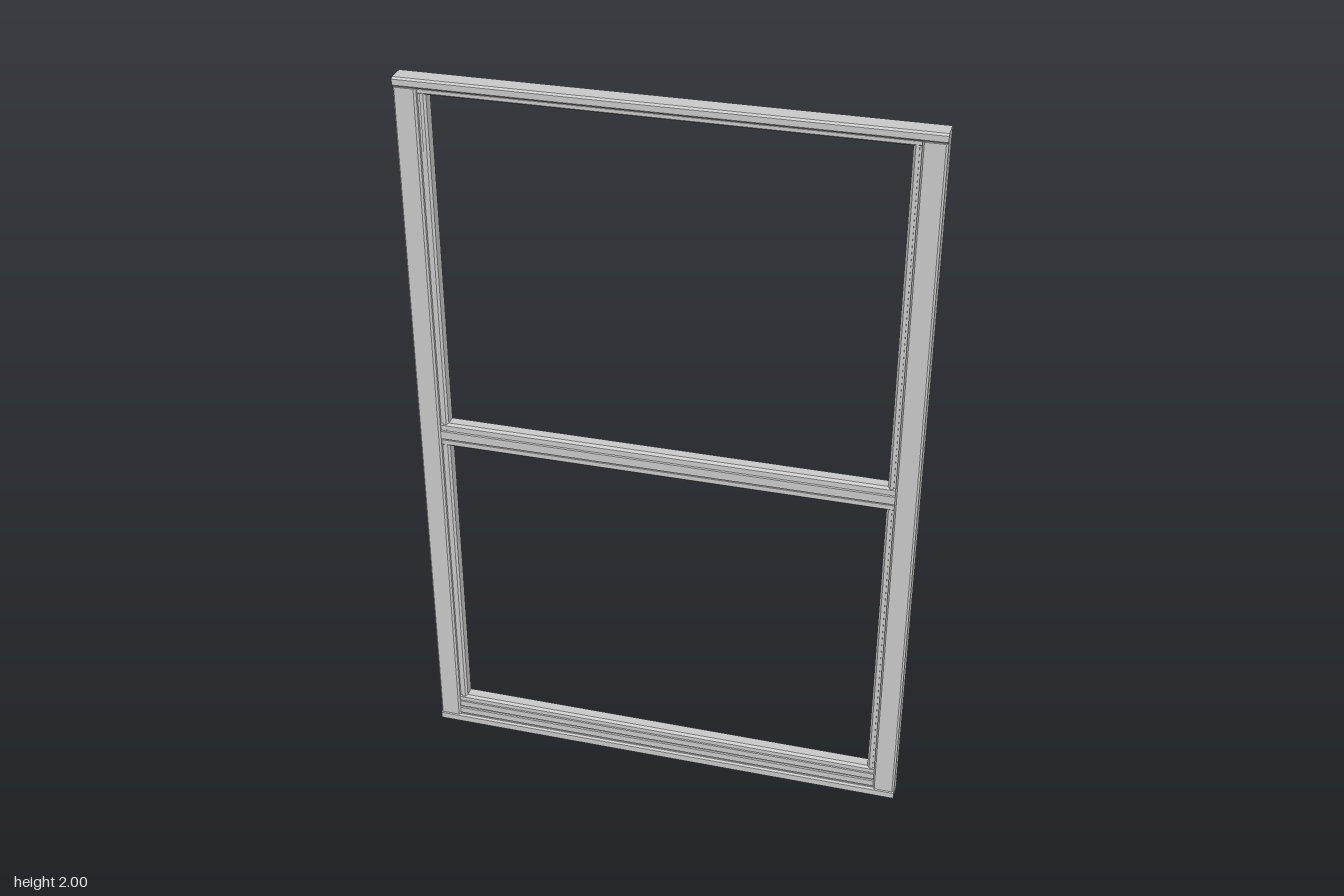
import * as THREE from 'three';

const material = new THREE.MeshStandardMaterial({ color: 0xcccccc });

// Mirrors a half profile of [position, half depth] into a closed outline.
function outline(half) {
  const back = [...half].reverse().map(([p, d]) => [p, -d]);
  return new THREE.Shape([...half, ...back].map(([p, d]) => new THREE.Vector2(p, d)));
}

// Bar running along x: profile positions are heights, depths are z.
function horizontalBar(name, half, length) {
  const geometry = new THREE.ExtrudeGeometry(outline(half), { depth: length, bevelEnabled: false });
  geometry.translate(0, 0, -length / 2);
  // cyclic axis change: (height, depth, length) -> (x, y, z) = (length, height, depth)
  geometry.applyMatrix4(new THREE.Matrix4().set(0, 0, 1, 0, 1, 0, 0, 0, 0, 1, 0, 0, 0, 0, 0, 1));
  const mesh = new THREE.Mesh(geometry, material);
  mesh.name = name;
  return mesh;
}

// Bar running along y: profile positions are x, depths are z.
function verticalBar(name, half, bottom, top, side) {
  const geometry = new THREE.ExtrudeGeometry(outline(half), { depth: top - bottom, bevelEnabled: false });
  geometry.rotateX(-Math.PI / 2);
  geometry.translate(0, bottom, 0);
  if (side < 0) geometry.rotateY(Math.PI);
  const mesh = new THREE.Mesh(geometry, material);
  mesh.name = name;
  return mesh;
}

// Rectangular section with small chamfers.
const chamfered = (a, b, depth, c = 0.005) => [[a, depth - c], [a + c, depth], [b - c, depth], [b, depth - c]];

export function createModel() {
  const group = new THREE.Group();
  group.name = 'windowFrame';

  // Outer frame: head and sill run the full width
  group.add(horizontalBar('sill', chamfered(0, 0.028, 0.029), 1.35));
  group.add(horizontalBar('head', chamfered(1.975, 2, 0.029), 1.35));

  // Jambs and recessed sash stiles
  for (const side of [1, -1]) {
    const prefix = side > 0 ? 'left' : 'right';
    group.add(verticalBar(prefix + 'Jamb', chamfered(0.615, 0.675, 0.029), 0.028, 1.975, side));
    group.add(verticalBar(prefix + 'Stile',
      [[0.594, 0.014], [0.6, 0.019], [0.609, 0.019], [0.609, 0.016], [0.618, 0.016]], 0.028, 1.975, side));
  }

  // Top sash rail
  group.add(horizontalBar('topRail',
    [[1.958, 0.014], [1.963, 0.02], [1.972, 0.02], [1.972, 0.017], [1.978, 0.017]], 1.23));

  // Meeting rail with grooves and sloping edges
  group.add(horizontalBar('meetingRail', [
    [0.958, 0.014], [0.964, 0.021], [0.977, 0.021], [0.977, 0.018], [0.983, 0.018],
    [0.983, 0.025], [1.006, 0.025], [1.006, 0.018], [1.012, 0.018],
    [1.012, 0.021], [1.023, 0.021], [1.029, 0.014],
  ], 1.23));

  // Bottom rail stepping down to the sill
  group.add(horizontalBar('bottomRail', [
    [0.026, 0.02], [0.034, 0.02], [0.034, 0.025], [0.052, 0.025], [0.052, 0.019], [0.057, 0.019],
    [0.057, 0.023], [0.075, 0.023], [0.075, 0.018], [0.08, 0.018],
    [0.08, 0.021], [0.09, 0.021], [0.096, 0.014],
  ], 1.23));

  return group;
}
